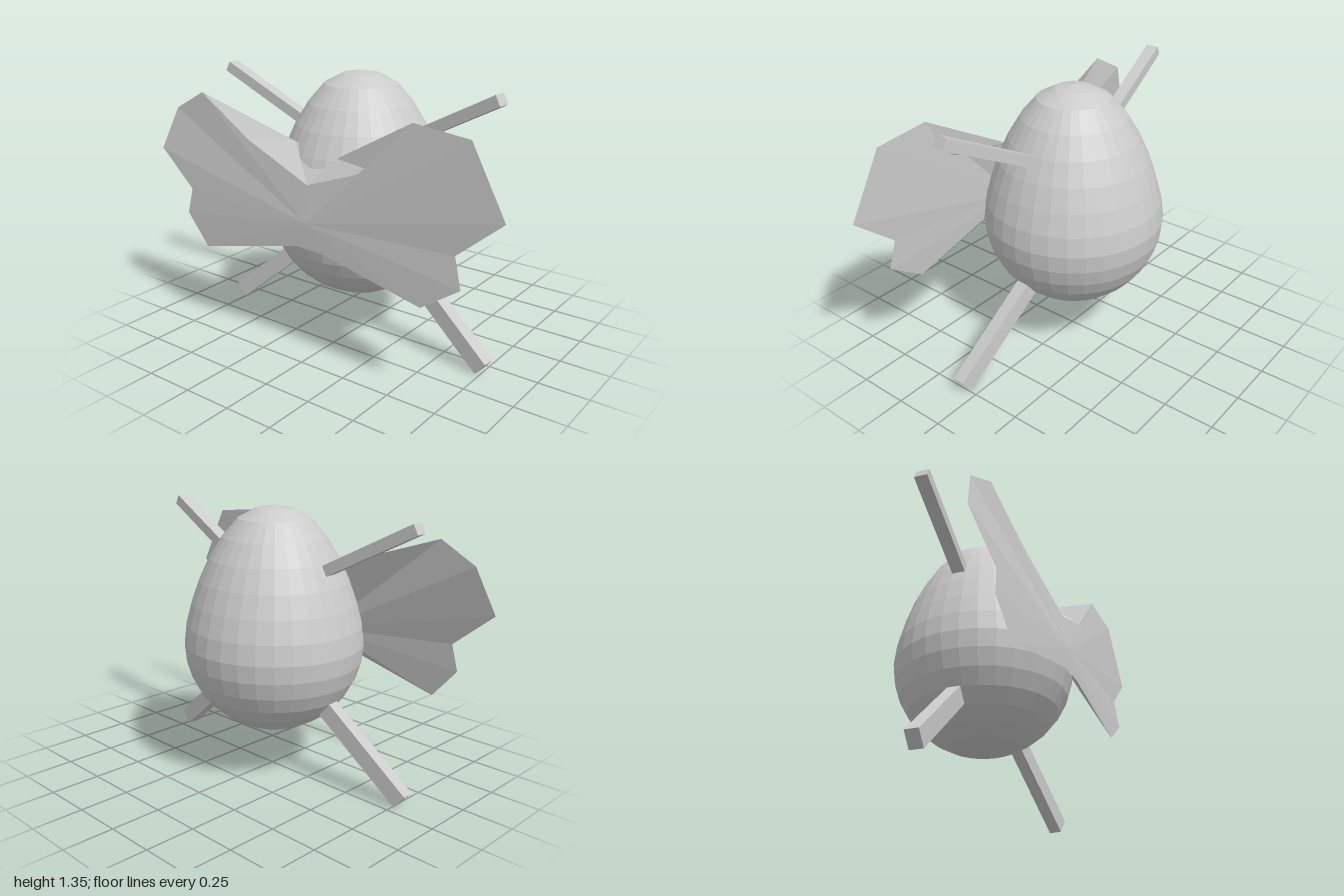
import * as THREE from 'three';

const grey = new THREE.MeshStandardMaterial({ color: 0xcccccc, flatShading: true });
const sheet = new THREE.MeshStandardMaterial({ color: 0xcccccc, flatShading: true, side: THREE.DoubleSide });
const CZ = -0.013; // middle plane of the body and limbs

// Square bar running from its outer end towards the body
function bar(name, end, root, width, depth) {
  const a = new THREE.Vector3(...end), b = new THREE.Vector3(...root);
  const mesh = new THREE.Mesh(new THREE.BoxGeometry(width, depth, a.distanceTo(b)), grey);
  mesh.name = name;
  mesh.position.copy(a).add(b).multiplyScalar(0.5);
  mesh.lookAt(a);
  return mesh;
}

// Egg: sphere-like rings, with a longer, tapering top
function body() {
  const profile = [];
  for (let i = 0; i <= 8; i++) {
    const t = (i * Math.PI) / 16;
    profile.push(new THREE.Vector2(0.448 * Math.sin(t), 0.673 - 0.446 * Math.cos(t)));
  }
  for (const [r, y] of [[0.436, 0.77], [0.407, 0.877], [0.368, 0.987], [0.318, 1.095],
    [0.255, 1.198], [0.178, 1.287], [0.092, 1.333], [0, 1.35]]) profile.push(new THREE.Vector2(r, y));
  const mesh = new THREE.Mesh(new THREE.LatheGeometry(profile, 32), grey);
  mesh.name = 'eggBody';
  mesh.position.z = CZ;
  return mesh;
}

// Pair of thin, ragged wings joined at the back, folded towards the body at the top
function wings() {
  // outlines from lower root to upper root
  const nearSide = [[-0.45, 0.57, 0.1], [-0.445, 0.45, 0.63], [-0.44, 0.578, 0.82], [-0.43, 0.72, 0.783],
    [-0.425, 0.9, 1], [-0.415, 1.21, 0.83], [-0.41, 1.24, 0.553], [-0.337, 1.0, 0.1]];
  const farSide = [[-0.45, 0.575, -0.06], [-0.445, 0.433, -0.666], [-0.437, 0.588, -0.805], [-0.43, 0.72, -0.773],
    [-0.41, 0.9, -1], [-0.373, 1.118, -0.906], [-0.377, 1.22, -0.714], [-0.318, 1.04, -0.16]];
  const backHub = [-0.452, 0.7, 0], frontHub = [-0.395, 0.66, 0], ridge = [-0.43, 0.88, 0];
  const nearFold = [-0.41, 1.03, 0.44], farFold = [-0.405, 1.03, -0.38];
  const tris = [];
  const tri = (...p) => tris.push(...p.flat());
  const fan = (hub, loop, flip) => loop.forEach((p, i) => {
    const q = loop[(i + 1) % loop.length];
    flip ? tri(hub, q, p) : tri(hub, p, q);
  });
  const far = [...farSide].reverse();
  fan(frontHub, [...nearSide, ...far], true);
  fan(backHub, [...nearSide.slice(0, 7), nearFold, ridge, farFold, ...far.slice(1)], false);
  // folded strips along the upper edge
  tri(nearFold, nearSide[6], nearSide[7]);
  tri(nearFold, nearSide[7], ridge);
  tri(ridge, nearSide[7], farSide[7]);
  tri(ridge, farSide[7], farFold);
  tri(farFold, farSide[7], farSide[6]);
  const geo = new THREE.BufferGeometry();
  geo.setAttribute('position', new THREE.Float32BufferAttribute(tris, 3));
  geo.computeVertexNormals();
  const mesh = new THREE.Mesh(geo, sheet);
  mesh.name = 'wings';
  return mesh;
}

export function createModel() {
  const model = new THREE.Group();
  model.name = 'wingedEgg';
  model.add(body(), wings());
  // Arms and legs, mirrored across the middle plane
  for (const [side, s] of [['front', 1], ['back', -1]]) {
    const at = (x, y, z) => [x, y, CZ + s * z];
    model.add(
      bar(side + 'Arm', at(-0.074, 1.307, 0.791), at(-0.02, 1.03, 0.245), 0.065, 0.053),
      bar(side + 'Leg', at(-0.074, 0.038, 0.77), at(-0.02, 0.45, 0.275), 0.065, 0.087)
    );
  }
  return model;
}
